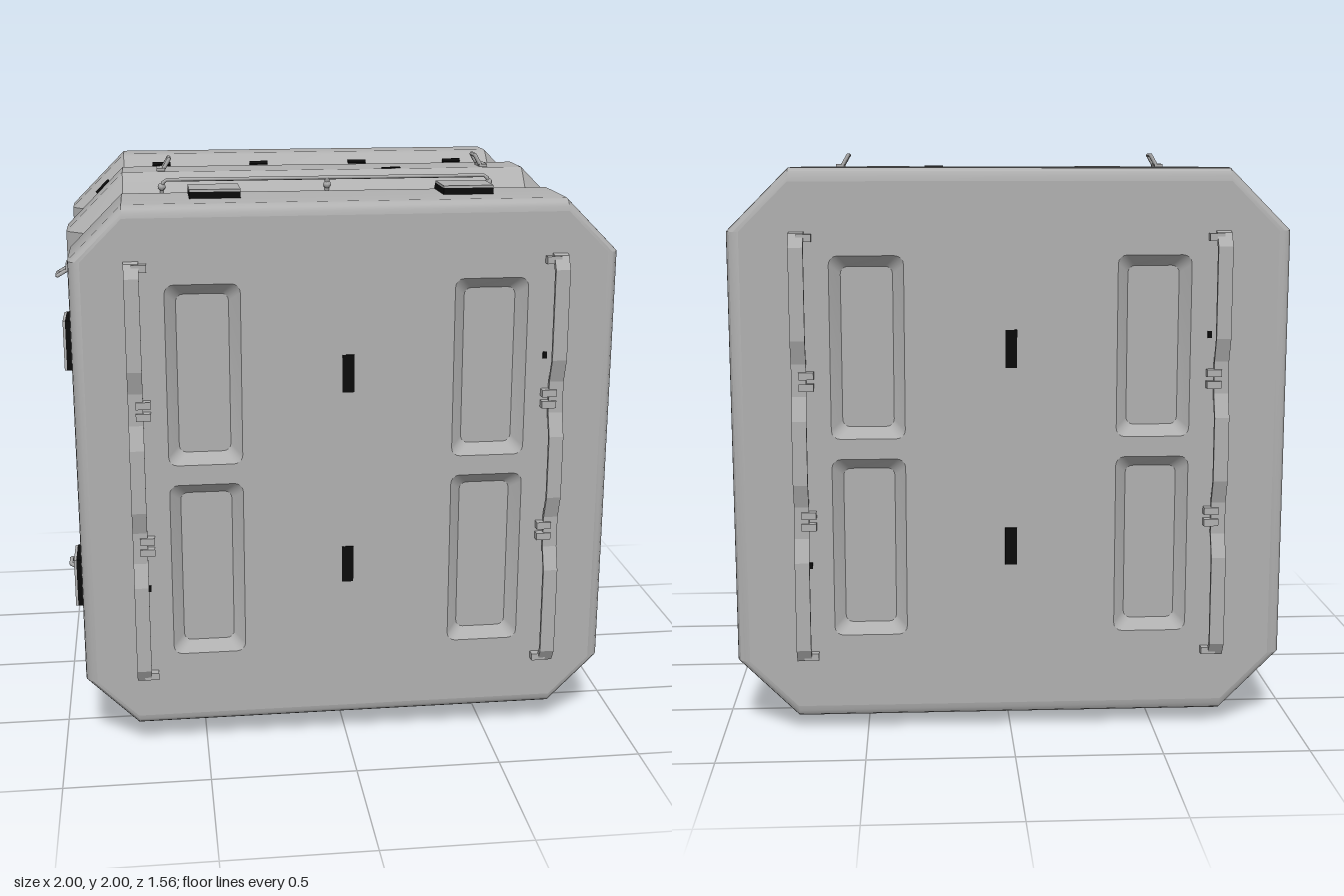
import * as THREE from 'three';
import { toCreasedNormals } from 'three/addons/utils/BufferGeometryUtils.js';

const grey = new THREE.MeshStandardMaterial({ color: 0xb0b0b0 });
grey.name = 'grey shell';
const black = new THREE.MeshStandardMaterial({ color: 0x0a0a0a });
black.name = 'black marking';

function add(parent, name, geometry, material = grey) {
  const mesh = new THREE.Mesh(geometry, material);
  mesh.name = name;
  parent.add(mesh);
  return mesh;
}

// Skin through matching loops of points, each at its own depth
function loft(sections, crease = 0.45) {
  const pos = [];
  const put = (s, j) => { const p = s.loop[j % s.loop.length]; pos.push(p.x, p.y, s.z); };
  for (let i = 0; i + 1 < sections.length; i++) {
    const a = sections[i], b = sections[i + 1];
    for (let j = 0; j < a.loop.length; j++) {
      put(a, j); put(a, j + 1); put(b, j + 1);
      put(a, j); put(b, j + 1); put(b, j);
    }
  }
  const g = new THREE.BufferGeometry();
  g.setAttribute('position', new THREE.Float32BufferAttribute(pos, 3));
  return toCreasedNormals(g, crease);
}

// Square with cut corners: flats stay the same width as the radius changes
const CUT = 0.74;
function octagon(r) {
  return [[r, -CUT], [r, CUT], [CUT, r], [-CUT, r], [-r, CUT], [-r, -CUT], [-CUT, -r], [CUT, -r]]
    .map(([x, y]) => new THREE.Vector2(x, y));
}

function roundedRect(cx, cy, w, h, r) {
  const pts = [];
  [[1, 1], [-1, 1], [-1, -1], [1, -1]].forEach(([sx, sy], q) => {
    for (let i = 0; i <= 4; i++) {
      const a = (q + i / 4) * Math.PI / 2;
      pts.push(new THREE.Vector2(cx + sx * (w / 2 - r) + r * Math.cos(a), cy + sy * (h / 2 - r) + r * Math.sin(a)));
    }
  });
  return pts;
}

// Strip with a (z, y) outline, running across x and centred on it
function strip(outer, inner, width) {
  const shape = new THREE.Shape([...outer, ...inner.slice().reverse()].map(([z, y]) => new THREE.Vector2(z, y)));
  const g = new THREE.ExtrudeGeometry(shape, { depth: width, bevelEnabled: false });
  g.rotateY(-Math.PI / 2);
  g.translate(width / 2, 0, 0);
  return g;
}

function tube(points, radius) {
  const path = new THREE.CurvePath();
  const p = points.map(v => new THREE.Vector3(...v));
  for (let i = 0; i + 1 < p.length; i++) path.add(new THREE.LineCurve3(p[i], p[i + 1]));
  return new THREE.TubeGeometry(path, 80, radius, 6);
}

function mark(parent, x, y, z, w, h, d, tilt = 0) {
  const m = add(parent, 'marking', new THREE.BoxGeometry(w, h, d), black);
  m.position.set(x, y, z);
  m.rotation.x = tilt;
}

// End face with four sunken panels, two wavy rails and markings
function makeEnd(r) {
  const end = new THREE.Group();
  const Z = 0.735;
  const face = new THREE.Shape(octagon(r));
  for (const x of [-0.485, 0.485]) {
    for (const y of [-0.34, 0.35]) {
      const rim = roundedRect(x, y, 0.25, 0.62, 0.03);
      const floor = roundedRect(x, y, 0.175, 0.545, 0.025);
      face.holes.push(new THREE.Path(rim));
      add(end, 'panelWall', loft([{ loop: rim, z: Z }, { loop: floor, z: Z - 0.035 }]));
      add(end, 'panelFloor', new THREE.ShapeGeometry(new THREE.Shape(floor))).position.z = Z - 0.035;
    }
  }
  add(end, 'endFace', new THREE.ShapeGeometry(face)).position.z = Z;

  const half = [[0.735, 0.74], [0.755, 0.735], [0.782, 0.69], [0.782, 0.38], [0.755, 0.3], [0.755, 0.19], [0.782, 0.11]];
  const wave = [...half, ...half.slice().reverse().map(([z, y]) => [z, -y])];
  const back = wave.map(([z, y]) => [z - 0.014, y * 0.985]);
  for (const s of [-1, 1]) {
    add(end, 'rail', strip(wave, back, 0.05)).position.x = s * 0.715;
    for (const y of [0.72, 0.26, 0.22, -0.22, -0.26, -0.72]) {
      add(end, 'railClamp', new THREE.BoxGeometry(0.05, 0.025, 0.035)).position.set(s * 0.69, y, 0.745);
    }
  }
  for (const y of [0.345, -0.34]) mark(end, 0, y, Z, 0.04, 0.13, 0.008);
  mark(end, 0.675, 0.39, Z, 0.014, 0.024, 0.008);
  mark(end, -0.688, -0.4, Z, 0.012, 0.022, 0.008);
  return end;
}

// Fittings of one side, built on the top and turned into place
function makeSide() {
  const side = new THREE.Group();
  for (const s of [-1, 1]) {
    // Folded latch over the front shoulder: dark core under a thin lid
    const edge = h => [[0.58, 0.918 + h], [0.42 + h * 0.4, 0.918 + h], [0.29 + h * 0.7, 0.78 + h * 0.7]];
    add(side, 'latchCore', strip(edge(0.024), edge(0), 0.172), black).position.x = s * 0.43;
    add(side, 'latchLid', strip(edge(0.032), edge(0.024), 0.172)).position.x = s * 0.43;

    // Leaning wire loop on the middle ridge
    add(side, 'tieLoop', tube([[s * 0.6, 0.94, -0.032], [s * 0.57, 0.992, -0.032],
      [s * 0.57, 0.992, 0.032], [s * 0.6, 0.94, 0.032]], 0.008));
    add(side, 'tieLoopBase', new THREE.BoxGeometry(0.03, 0.02, 0.085)).position.set(s * 0.6, 0.95, 0);
  }
  // Long grab bars on both slopes of the middle ridge
  for (const [fy, fz, ry, rz] of [[0.86, 0.12, 0.93, 0.14], [0.79, -0.29, 0.86, -0.265]]) {
    add(side, 'grabBar', tube([[-0.6, fy, fz], [-0.6, ry - 0.015, rz], [-0.585, ry, rz],
      [0.585, ry, rz], [0.6, ry - 0.015, rz], [0.6, fy, fz]], 0.007));
    add(side, 'grabBarPost', tube([[0, fy, fz], [0, ry, rz]], 0.009));
    for (const x of [-0.6, 0, 0.6]) {
      add(side, 'grabBarFoot', new THREE.SphereGeometry(0.014, 8, 6)).position.set(x, ry - 0.025, rz - 0.005);
    }
  }
  // Dashes on the rear slope and small labels
  for (const x of [-0.59, -0.2, 0.2, 0.59]) mark(side, x, 0.914, -0.51, 0.072, 0.008, 0.014, 0.733);
  mark(side, 0.25, 0.95, 0.045, 0.07, 0.008, 0.014);
  mark(side, 0.655, 0.797, -0.38, 0.03, 0.008, 0.01, 0.733);

  const corner = new THREE.Group();
  corner.name = 'cornerMarking';
  mark(corner, 0, 1.169, -0.51, 0.07, 0.008, 0.014, 0.567);
  corner.rotation.z = -Math.PI / 4;
  side.add(corner);
  return side;
}

export function createModel() {
  const model = new THREE.Group();
  model.name = 'crate';
  const body = new THREE.Group();
  body.name = 'body';
  body.position.y = 1;
  model.add(body);

  // Shell profile from back to front: depth, radius
  const profile = [[-0.735, 0.905], [-0.732, 0.922], [-0.723, 0.938], [-0.708, 0.947], [-0.69, 0.95],
    [-0.57, 0.95], [-0.55, 0.943], [-0.35, 0.77], [-0.31, 0.77], [-0.13, 0.938], [-0.11, 0.95], [0.06, 0.95],
    [0.08, 0.938], [0.17, 0.84], [0.215, 0.84], [0.29, 0.78], [0.4, 0.908], [0.42, 0.92],
    [0.69, 0.92], [0.708, 0.917], [0.723, 0.908], [0.732, 0.895], [0.735, 0.88]];
  add(body, 'shell', loft(profile.map(([z, r]) => ({ z, loop: octagon(r) }))));

  const front = makeEnd(0.88);
  front.name = 'frontEnd';
  const rear = makeEnd(0.905);
  rear.name = 'rearEnd';
  rear.rotation.y = Math.PI;
  body.add(front, rear);

  ['top', 'left', 'bottom', 'right'].forEach((name, i) => {
    const side = makeSide();
    side.name = name + 'Fittings';
    side.rotation.z = -i * Math.PI / 2;
    body.add(side);
  });
  return model;
}
